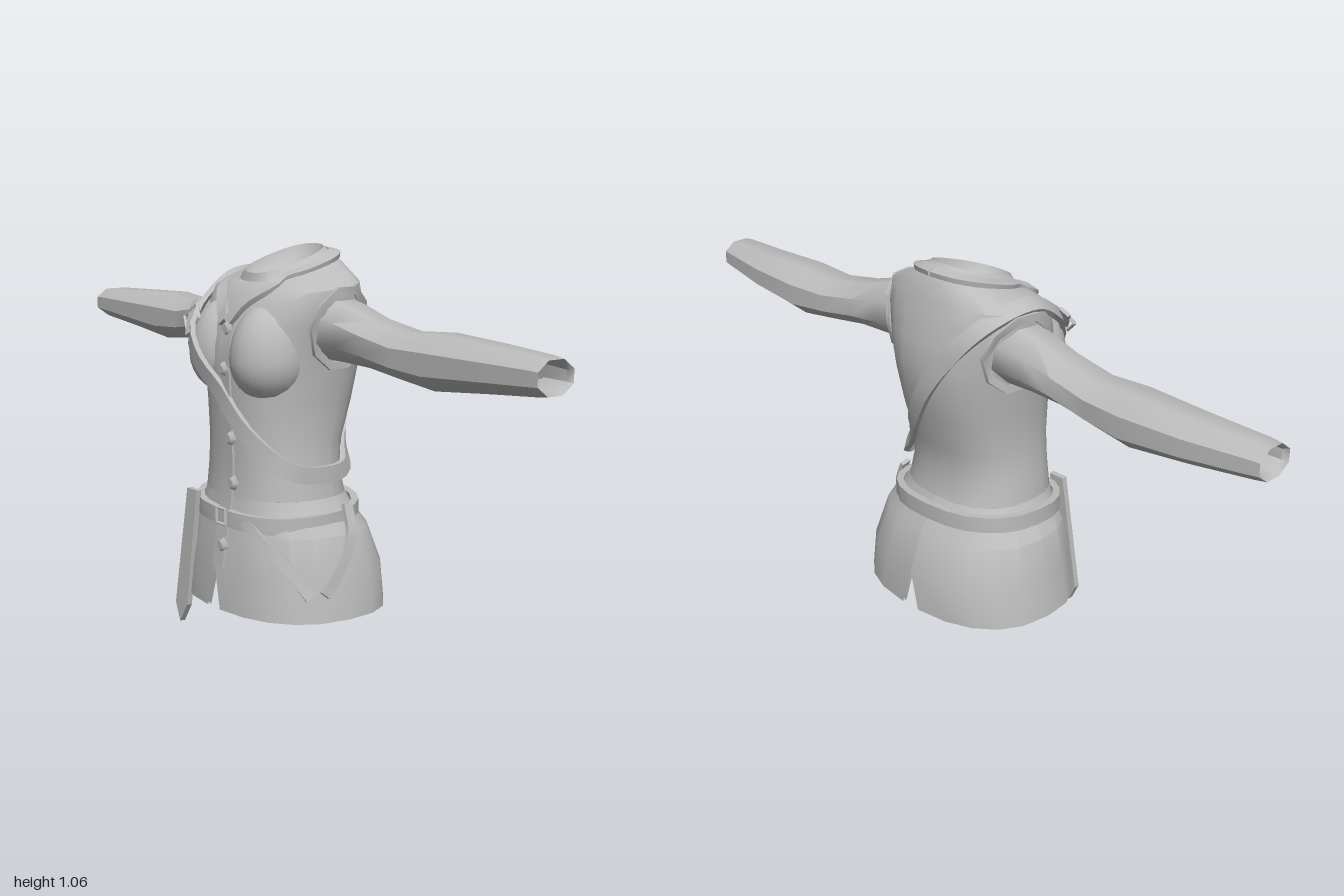
import * as THREE from 'three';
import { toCreasedNormals } from 'three/addons/utils/BufferGeometryUtils.js';

const cloth = new THREE.MeshStandardMaterial({ color: 0xbcbcbc, side: THREE.DoubleSide });
cloth.name = 'grey cloth';
const V = (x, y, z) => new THREE.Vector3(x, y, z);
const POW = 2.4; // roundness of the body sections

// Body sections: height, half width, front z, back z, forward slope
const BODY = [
  [0.09, 0.303, 0.236, -0.236, 0], [0.2, 0.287, 0.23, -0.232, 0], [0.31, 0.262, 0.213, -0.19, 0],
  [0.36, 0.222, 0.204, -0.156, 0], [0.4, 0.2, 0.198, -0.137, 0], [0.47, 0.19, 0.193, -0.122, 0],
  [0.55, 0.182, 0.195, -0.135, 0], [0.65, 0.188, 0.2, -0.167, 0], [0.74, 0.2, 0.205, -0.185, 0],
  [0.8, 0.208, 0.202, -0.19, 0], [0.86, 0.222, 0.188, -0.184, 0], [0.92, 0.238, 0.16, -0.17, 0],
  [0.96, 0.236, 0.14, -0.156, 0.1], [0.99, 0.165, 0.125, -0.143, 0.2], [1.005, 0.112, 0.115, -0.13, 0.3],
  [1.026, 0.085, 0.11, -0.108, 0.32],
];
const BUST = { x: 0.098, y: 0.77, z: 0.118, rx: 0.1, up: 0.15, down: 0.112, rz: 0.108 };

function section(y) {
  let i = 0;
  while (i < BODY.length - 2 && BODY[i + 1][0] < y) i++;
  const t = THREE.MathUtils.clamp((y - BODY[i][0]) / (BODY[i + 1][0] - BODY[i][0]), 0, 1);
  return BODY[i].map((v, k) => v + (BODY[i + 1][k] - v) * t);
}

// Point on a body section; angle 0 is the front, PI/2 the left side
function onSection([y, w, f, b, slope], a, off = 0) {
  const bend = (v) => Math.sign(v) * Math.abs(v) ** (2 / POW);
  const dz = ((f - b) / 2 + off) * bend(Math.cos(a));
  return V((w + off) * bend(Math.sin(a)), y - slope * dz, (f + b) / 2 + dz);
}

// Depth of the front (+1) or back (-1) surface, bust included
function depthAt(x, y, side) {
  const [, w, f, b] = section(y);
  const k = Math.max(0, 1 - Math.abs(x / w) ** POW) ** (1 / POW);
  const z = (f + b) / 2 + side * ((f - b) / 2) * k;
  const ry = y > BUST.y ? BUST.up : BUST.down;
  const r = 1 - ((Math.abs(x) - BUST.x) / BUST.rx) ** 2 - ((y - BUST.y) / ry) ** 2;
  return side > 0 && r > 0 ? Math.max(z, BUST.z + BUST.rz * Math.sqrt(r)) : z;
}

function sideAt(y, z) {
  const [, w, f, b] = section(y);
  return w * Math.max(0, 1 - Math.abs((z - (f + b) / 2) / ((f - b) / 2)) ** POW) ** (1 / POW);
}

// Skin over a list of equal-length point rows
function loft(rows, wrapRow, wrapRows = false, crease = 0.6) {
  const n = rows[0].length, m = rows.length, index = [];
  for (let i = 0; i < (wrapRows ? m : m - 1); i++)
    for (let j = 0; j < (wrapRow ? n : n - 1); j++) {
      const a = i * n + j, b = i * n + ((j + 1) % n), c = ((i + 1) % m) * n + j, d = ((i + 1) % m) * n + ((j + 1) % n);
      index.push(a, b, d, a, d, c);
    }
  const g = new THREE.BufferGeometry().setFromPoints(rows.flat());
  g.setIndex(index);
  return toCreasedNormals(g, crease);
}

// Flat band along a path, lying on the body
function band(points, width, thick, { closed = false, normal = null, steps = 40, hug = false } = {}) {
  const curve = new THREE.CatmullRomCurve3(points, closed);
  const power = (v) => Math.sign(v) * Math.abs(v) ** 1.4;
  const rows = [];
  for (let i = 0; i < (closed ? steps : steps + 1); i++) {
    const p = curve.getPoint(i / steps), t = curve.getTangent(i / steps);
    if (hug && p.z > 0.06 && p.y < 0.92) p.z = Math.max(p.z, depthAt(p.x, p.y, 1) + 0.005);
    const n = normal ? normal.clone() : V(power(p.x), Math.max(0, p.y - 0.85) * 1.5, power(p.z)).normalize();
    const side = n.clone().cross(t).normalize();
    n.crossVectors(t, side).normalize();
    rows.push([[-1, -1], [1, -1], [1, 1], [-1, 1]].map(([u, v]) =>
      p.clone().addScaledVector(side, (u * width) / 2).addScaledVector(n, (v * thick) / 2)));
  }
  if (!closed) { // close the two ends
    const middle = (r) => { const c = r[0].clone().add(r[2]).multiplyScalar(0.5); return r.map(() => c.clone()); };
    rows.unshift(middle(rows[0]));
    rows.push(middle(rows[rows.length - 1]));
  }
  return loft(rows, true, closed);
}

export function createModel() {
  const model = new THREE.Group();
  const add = (name, geometry) => {
    const mesh = new THREE.Mesh(geometry, cloth);
    mesh.name = name;
    model.add(mesh);
    return mesh;
  };
  const front = (x, y, off = 0.006) => V(x, y, depthAt(x, y, 1) + off);
  const back = (x, y, off = 0.007) => V(x, y, depthAt(x, y, -1) - off);

  // Bodice and the shallow lining inside the neck
  const ring = (s) => Array.from({ length: 24 }, (_, j) => onSection(s, (j / 24) * Math.PI * 2));
  add('bodice', loft(BODY.slice(4).map(ring), true, false, 0.75));
  const [ny, nw, nf, nb, ns] = BODY[BODY.length - 1];
  add('neckLining', loft([[1, 0], [0.9, 0.025], [0.6, 0.045], [0.01, 0.055]].map(([k, drop]) =>
    ring([ny - drop, nw * k, nf * k, nb * k, ns])), true, false, 1));

  for (const s of [1, -1]) {
    const label = s > 0 ? 'left' : 'right';

    // Skirt half with a turned hem, slit at centre front and back
    const skirtRow = (sec, off) => {
      const gap = Math.max(0, (0.2 - sec[0]) / 0.11) * 0.065;
      return Array.from({ length: 11 }, (_, j) => onSection(sec, s * (gap + (j / 10) * (Math.PI - 2 * gap)), off));
    };
    add(label + 'Skirt', loft([
      ...BODY.slice(0, 3).reverse().map((sec) => skirtRow(sec, -0.012)),
      ...BODY.slice(0, 5).map((sec) => skirtRow(sec, 0)),
    ], false, false, 0.45));

    // Bust, fuller below than above
    const bust = new THREE.SphereGeometry(1, 18, 14);
    const pos = bust.attributes.position;
    for (let i = 0; i < pos.count; i++) {
      const y = pos.getY(i);
      pos.setXYZ(i, pos.getX(i) * BUST.rx, y * (y > 0 ? BUST.up : BUST.down), pos.getZ(i) * BUST.rz);
    }
    bust.computeVertexNormals();
    add(label + 'Bust', bust).position.set(s * BUST.x, BUST.y, BUST.z);

    // Sleeve: x, bottom, top, back, front, ending in a turned cuff
    const sleeve = [
      [0.17, 0.775, 0.94, -0.11, 0.055], [0.28, 0.775, 0.922, -0.1, 0.05], [0.38, 0.772, 0.893, -0.1, 0.046],
      [0.5, 0.757, 0.873, -0.11, 0.044], [0.62, 0.744, 0.881, -0.123, 0.045], [0.8, 0.762, 0.874, -0.113, 0.04],
      [0.97, 0.778, 0.868, -0.086, 0.035], [1, 0.782, 0.864, -0.08, 0.032], [0.985, 0.79, 0.855, -0.072, 0.024],
      [0.9, 0.785, 0.86, -0.085, 0.025],
    ].map(([x, y0, y1, z0, z1]) => Array.from({ length: 8 }, (_, j) => {
      const a = ((j + 0.5) / 8) * Math.PI * 2;
      return V(s * x, (y0 + y1) / 2 + Math.sin(a) * (y1 - y0) * 0.54, (z0 + z1) / 2 + Math.cos(a) * (z1 - z0) * 0.54);
    }));
    add(label + 'Sleeve', loft(sleeve, true, false, 0.85));

    // Raised armhole edge
    const rim = Array.from({ length: 10 }, (_, j) => {
      const a = (j / 10) * Math.PI * 2;
      const y = 0.855 + 0.104 * Math.sin(a), z = -0.033 + 0.094 * Math.cos(a);
      return V(s * (sideAt(y, z) + 0.002), y, z);
    });
    add(label + 'ArmholeEdge', band(rim, 0.022, 0.012, { closed: true, normal: V(s, 0, 0), steps: 10 }));

    // Folded collar running into the neckline
    add(label + 'Collar', band([
      ...[1, 0.82, 0.64, 0.46, 0.3].map((k) => onSection(section(1.007), s * k * Math.PI, 0.005)),
      onSection(section(0.985), s * 0.55, 0.006), front(s * 0.05, 0.915, 0.004), front(s * 0.008, 0.865, 0.004),
    ], 0.034, 0.014, { steps: 22 }));
  }

  // Button placket and buttons
  add('placket', band([0.86, 0.8, 0.7, 0.6, 0.5, 0.4, 0.3, 0.21].map((y) => V(0.015, y, section(y)[2])),
    0.05, 0.007, { normal: V(0, 0, 1), steps: 14 }));
  for (const [x, y] of [[0.02, 0.85], [0.02, 0.745], [0.038, 0.56], [0.048, 0.44], [0.032, 0.27]]) {
    const button = add('button', new THREE.CylinderGeometry(0.014, 0.021, 0.016, 4).toNonIndexed());
    button.rotation.x = Math.PI / 2;
    button.position.set(x, y, section(y)[2] + 0.008);
  }

  // Waist belt with buckle
  const belt = Array.from({ length: 24 }, (_, j) => {
    const a = (j / 24) * Math.PI * 2;
    const p = onSection(section(0.362), a, 0.007);
    p.y = 0.355 - 0.011 * Math.cos(a) - 0.01 * Math.sin(a);
    return p;
  });
  add('belt', band(belt, 0.045, 0.02, { closed: true, steps: 24 }));
  const frame = (name, position, size, tilt, turn) => {
    const mesh = add(name, toCreasedNormals(new THREE.TorusGeometry(size, 0.006, 4, 4), 0.3));
    mesh.position.copy(position);
    mesh.rotation.set(tilt, 0, turn);
  };
  frame('beltBuckle', V(0.02, 0.347, 0.22), 0.03, 0, Math.PI / 4);

  // Hanging belt end
  const tail = new THREE.Shape([[-0.16, 0.39], [-0.21, 0.05], [-0.185, 0], [-0.15, 0.055], [-0.112, 0.39]]
    .map(([x, y]) => new THREE.Vector2(x, y)));
  const tailMesh = add('hangingBeltEnd', new THREE.ExtrudeGeometry(tail, { depth: 0.016, bevelEnabled: false }));
  tailMesh.position.z = 0.214;
  tailMesh.rotation.x = -0.035;

  // Cross-body strap with buckle, over the right shoulder
  add('shoulderStrap', band([
    V(-0.212, 0.97, 0.03), front(-0.195, 0.925), front(-0.15, 0.865), front(-0.08, 0.77), front(0, 0.68),
    front(0.08, 0.59), front(0.15, 0.515), V(0.19, 0.478, 0.1), V(0.198, 0.465, 0.01), V(0.176, 0.475, -0.075),
    back(0.12, 0.53), back(0.05, 0.63), back(-0.03, 0.75), back(-0.11, 0.86), back(-0.18, 0.94), V(-0.212, 0.976, -0.05),
  ], 0.046, 0.014, { closed: true, steps: 56, hug: true }));
  frame('strapBuckle', V(-0.15, 0.865, 0.2), 0.038, -0.45, 0);
  add('strapTongue', band([V(-0.185, 0.905, 0.165), V(-0.15, 0.865, 0.2), V(-0.115, 0.825, 0.23)],
    0.03, 0.01, { normal: V(0, 0.4, 0.9), steps: 4 }));

  // Hanging hip loops on the left side
  const hip = (y, z) => V(sideAt(y, z) + 0.006, y, z);
  add('frontHipLoop', band([front(0.1, 0.35), front(0.165, 0.3), hip(0.24, 0.155), hip(0.16, 0.11)], 0.03, 0.012, { steps: 12 }));
  add('rearHipLoop', band([V(0.232, 0.385, -0.04), hip(0.31, -0.03), hip(0.23, 0.02), hip(0.165, 0.075)], 0.03, 0.012, { steps: 12 }));

  return model;
}
